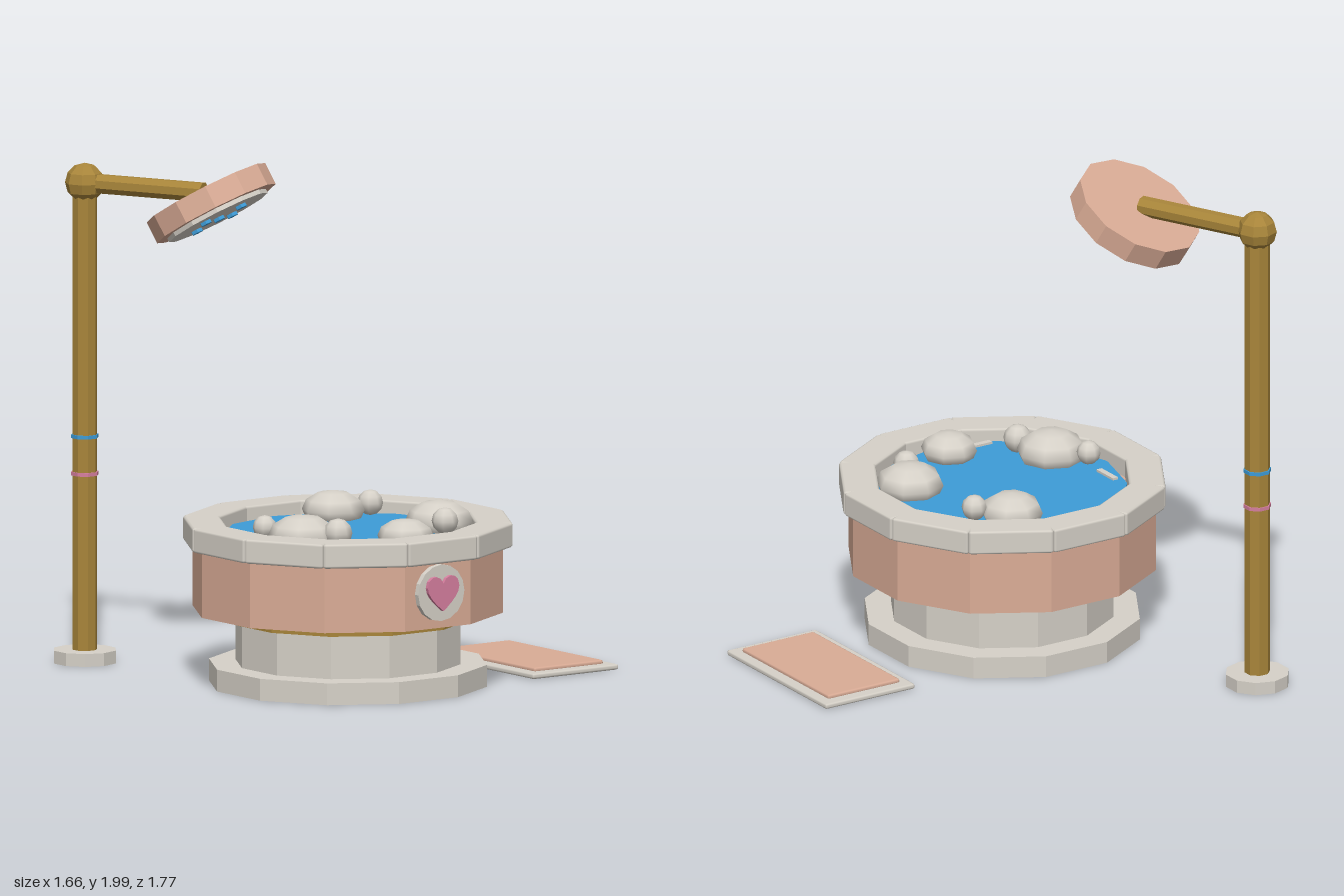
import * as THREE from 'three';
import { RoundedBoxGeometry } from 'three/addons/geometries/RoundedBoxGeometry.js';

const paint = (name, color) => {
  const m = new THREE.MeshStandardMaterial({ color });
  m.name = name;
  return m;
};

// Faceted copy of a geometry
function flat(geometry) {
  const g = geometry.index ? geometry.toNonIndexed() : geometry;
  g.computeVertexNormals();
  return g;
}

export function createModel() {
  const stone = paint('stone', 0xd6d1c8);
  const clay = paint('clay', 0xdaac96);
  const gold = paint('gold', 0xa8853a);
  const blue = paint('water blue', 0x3d9cd8);
  const rose = paint('rose', 0xd67f9f);

  const model = new THREE.Group();
  function add(parent, name, geometry, material, x = 0, y = 0, z = 0) {
    const mesh = new THREE.Mesh(geometry, material);
    mesh.name = name;
    mesh.position.set(x, y, z);
    parent.add(mesh);
    return mesh;
  }
  // Faceted prism standing between two heights
  function prism(parent, name, material, r, y0, y1, sides, turn = 0, x = 0, z = 0) {
    const g = flat(new THREE.CylinderGeometry(r, r, y1 - y0, sides));
    g.rotateY(turn);
    return add(parent, name, g, material, x, (y0 + y1) / 2, z);
  }

  // Tub: pedestal, collar, bowl and water
  const tub = new THREE.Group();
  tub.name = 'tub';
  tub.position.set(-0.21, 0, 0.26);
  model.add(tub);
  const T = Math.PI / 12;
  prism(tub, 'pedestalBase', stone, 0.54, 0, 0.085, 12, T);
  prism(tub, 'pedestalColumn', stone, 0.437, 0.085, 0.26, 12, T);
  prism(tub, 'collar', gold, 0.47, 0.255, 0.295, 12, T);
  prism(tub, 'bowl', clay, 0.603, 0.29, 0.565, 12, T);
  prism(tub, 'water', blue, 0.482, 0.55, 0.59, 12);

  // Rim of twelve stone blocks
  for (let i = 0; i < 12; i++) {
    const a = (i * Math.PI) / 6;
    const block = add(tub, 'rimBlock', new RoundedBoxGeometry(0.327, 0.095, 0.14, 1, 0.01), stone,
      Math.sin(a) * 0.55, 0.5925, Math.cos(a) * 0.55);
    block.rotation.y = a;
  }

  // Badge with a heart
  const disc = new THREE.CylinderGeometry(0.11, 0.11, 0.03, 16).rotateX(Math.PI / 2);
  add(tub, 'badge', flat(disc), stone, 0, 0.43, 0.59);
  const h = new THREE.Shape();
  h.moveTo(0, -0.07);
  h.bezierCurveTo(-0.03, -0.045, -0.075, -0.01, -0.075, 0.025);
  h.bezierCurveTo(-0.075, 0.075, -0.015, 0.08, 0, 0.038);
  h.bezierCurveTo(0.015, 0.08, 0.075, 0.075, 0.075, 0.025);
  h.bezierCurveTo(0.075, -0.01, 0.03, -0.045, 0, -0.07);
  add(tub, 'heart', new THREE.ExtrudeGeometry(h, { depth: 0.02, bevelEnabled: false, curveSegments: 5 }),
    rose, 0, 0.43, 0.6);

  // Foam: wide flattened mounds and small round bubbles [x, z, radius]
  const foam = (name, list, squash, lift) => list.forEach(([x, z, r]) => {
    const m = add(model, name, new THREE.SphereGeometry(r, 8, 6), stone, x, lift, z);
    m.scale.y = squash;
  });
  foam('foamMound', [[-0.047, -0.056, 0.122], [0.117, 0.408, 0.132],
    [-0.21, 0.634, 0.11], [-0.53, 0.404, 0.137]], 0.62, 0.622);
  foam('foamBubble', [[0.085, 0.005, 0.05], [0.047, 0.54, 0.052],
    [-0.46, 0.535, 0.056], [-0.605, 0.258, 0.047]], 1, 0.645);

  // Ripple strips floating on the water [x, z, turn]
  [[-0.607, 0.13, Math.PI / 2], [-0.365, 0.667, 0], [-0.005, 0.62, 0.3]].forEach(([x, z, turn]) => {
    add(model, 'ripple', new THREE.BoxGeometry(0.115, 0.009, 0.024), stone, x, 0.595, z).rotation.y = turn;
  });

  // Shower stand
  const px = -0.71, pz = -0.765, armY = 1.865;
  prism(model, 'standFoot', stone, 0.125, 0, 0.05, 10, 0, px, pz);
  prism(model, 'pole', gold, 0.049, 0.05, armY, 8, Math.PI / 8, px, pz);
  prism(model, 'blueBand', blue, 0.054, 0.873, 0.887, 8, Math.PI / 8, px, pz);
  prism(model, 'roseBand', rose, 0.054, 0.728, 0.742, 8, Math.PI / 8, px, pz);
  add(model, 'joint', flat(new THREE.SphereGeometry(0.077, 8, 6)), gold, px, armY, pz);

  // Arm reaching over the tub
  const from = new THREE.Vector3(px, armY, pz);
  const to = new THREE.Vector3(-0.485, armY, -0.3);
  const arm = add(model, 'arm', flat(new THREE.CylinderGeometry(0.039, 0.039, from.distanceTo(to), 8)), gold);
  arm.position.copy(from).lerp(to, 0.5);
  arm.quaternion.setFromUnitVectors(new THREE.Vector3(0, 1, 0), to.clone().sub(from).normalize());

  // Tilted shower head with nozzles underneath
  const head = new THREE.Group();
  head.name = 'showerHead';
  head.position.set(-0.47, 1.825, -0.272);
  head.rotation.set(-0.53, 0.46, 0, 'YXZ');
  model.add(head);
  prism(head, 'headShell', clay, 0.255, -0.045, 0.045, 12);
  prism(head, 'headPlate', stone, 0.212, -0.062, -0.04, 12);
  [[0, 0], [0.11, 0], [-0.11, 0], [0, 0.11], [0, -0.11]].forEach(([x, z]) =>
    prism(head, 'nozzle', blue, 0.024, -0.075, -0.06, 6, 0, x, z));

  // Bath mat
  add(model, 'matBase', new RoundedBoxGeometry(0.41, 0.022, 0.7, 1, 0.009), stone, 0.625, 0.011, 0.256);
  add(model, 'matTop', new RoundedBoxGeometry(0.33, 0.022, 0.61, 1, 0.01), clay, 0.625, 0.026, 0.256);

  return model;
}
